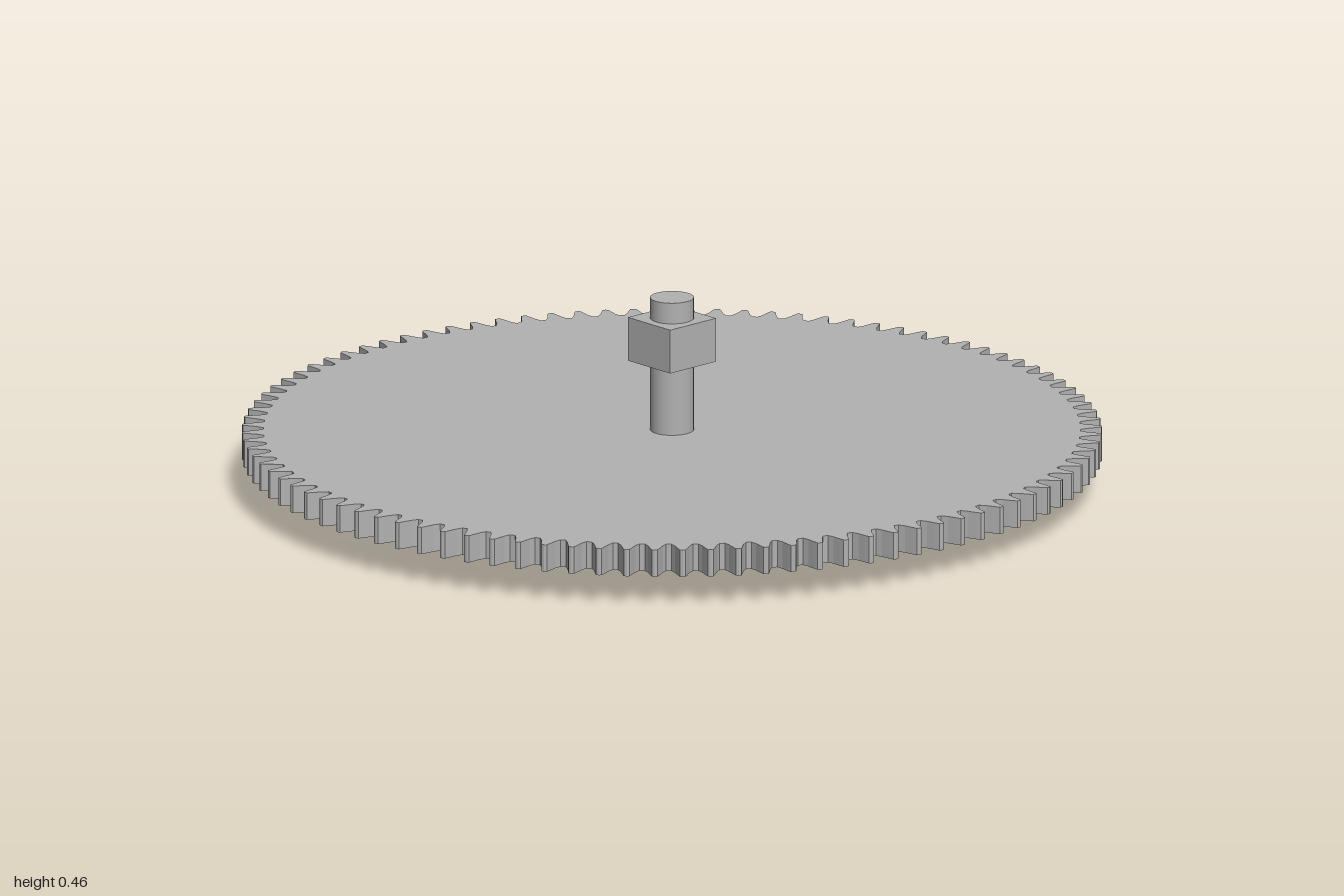
import * as THREE from 'three';

const TEETH = 96, TIP = 1, ROOT = 0.95, HUB = 0.207;
const PLATE_BOTTOM = 0.075, PLATE_TOP = 0.14;

export function createModel() {
  const model = new THREE.Group();
  model.name = 'gearOnShaft';
  const grey = new THREE.MeshStandardMaterial({ color: 0xb2b2b2 });
  grey.name = 'plain grey';

  const add = (name, geometry, y) => {
    const mesh = new THREE.Mesh(geometry, grey);
    mesh.name = name;
    mesh.position.y = y;
    model.add(mesh);
  };

  // One tooth: [fraction of the pitch, radius], rounded at the tip
  const tooth = [
    [-0.4, ROOT], [-0.27, 0.965], [-0.17, 0.985], [-0.1, 0.998],
    [0, TIP],
    [0.1, 0.998], [0.17, 0.985], [0.27, 0.965], [0.4, ROOT],
  ];
  const outline = [];
  for (let i = 0; i < TEETH; i++) {
    for (const [f, r] of tooth) {
      const a = ((i + f) / TEETH) * Math.PI * 2;
      outline.push(new THREE.Vector2(r * Math.cos(a), r * Math.sin(a)));
    }
  }

  // Toothed ring around the flush hub
  const ring = new THREE.Shape(outline);
  ring.holes.push(new THREE.Path().absarc(0, 0, HUB, 0, Math.PI * 2, true));
  const thickness = PLATE_TOP - PLATE_BOTTOM;
  const ringGeometry = new THREE.ExtrudeGeometry(ring, {
    depth: thickness, bevelEnabled: false, curveSegments: 32,
  });
  ringGeometry.rotateX(-Math.PI / 2);
  add('toothedRing', ringGeometry, PLATE_BOTTOM);
  add('hub', new THREE.CylinderGeometry(HUB, HUB, thickness, 64), (PLATE_BOTTOM + PLATE_TOP) / 2);

  // Shaft through the gear, with a square block near its top
  add('shaft', new THREE.CylinderGeometry(0.051, 0.051, 0.46, 32), 0.23);
  add('squareBlock', new THREE.BoxGeometry(0.145, 0.105, 0.145), 0.3575);

  return model;
}
